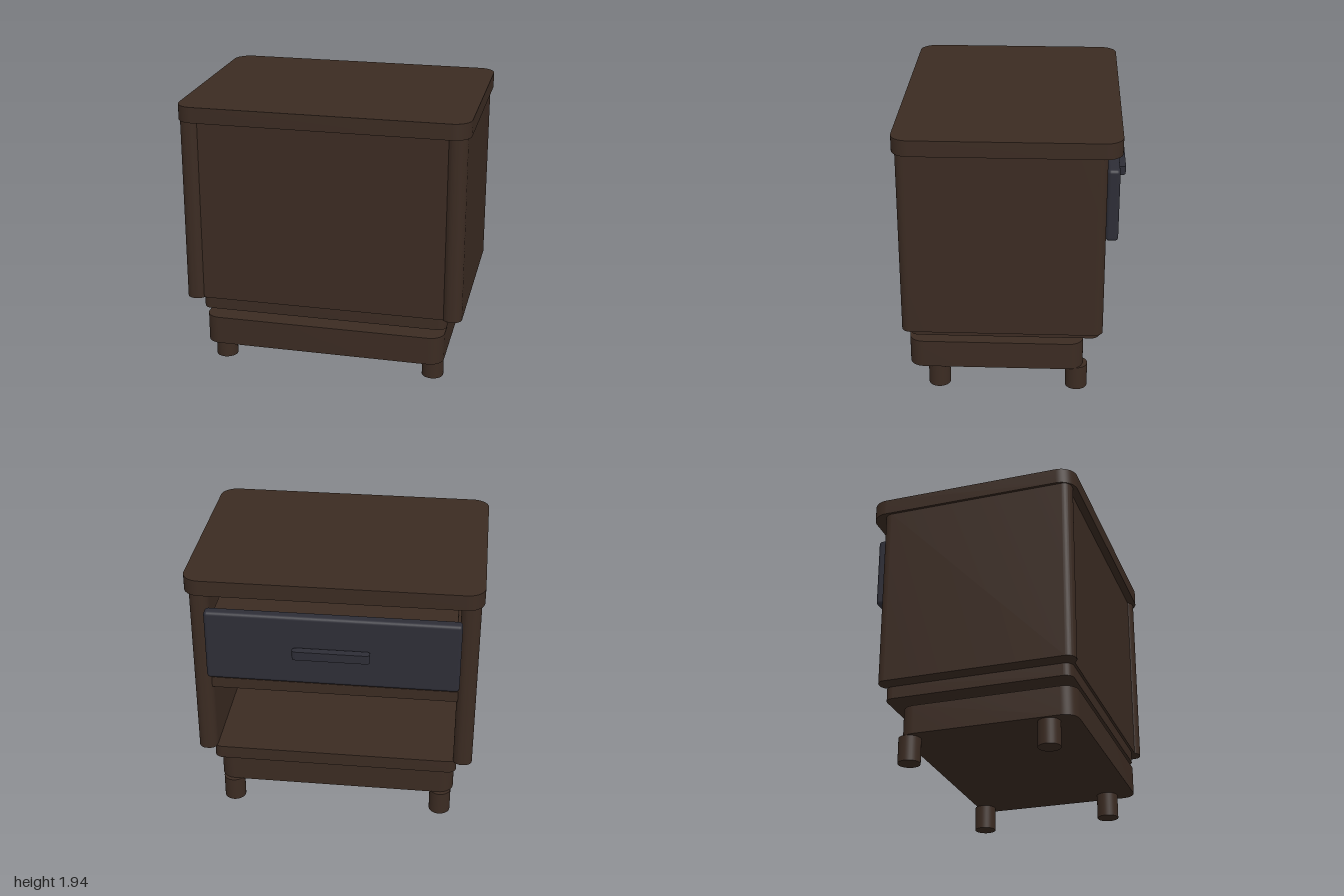
import * as THREE from 'three';
import { toCreasedNormals } from 'three/addons/utils/BufferGeometryUtils.js';
import { RoundedBoxGeometry } from 'three/addons/geometries/RoundedBoxGeometry.js';

const wood = new THREE.MeshStandardMaterial({ color: 0x3b2b22 });
wood.name = 'dark wood';
const slate = new THREE.MeshStandardMaterial({ color: 0x2d2d36 });
slate.name = 'slate drawer';

// Upright slab with rounded vertical edges, given by its extents
function slab(name, [x0, x1], [y0, y1], [z0, z1], r, material = wood) {
  const w = (x1 - x0) / 2, d = (z1 - z0) / 2;
  const s = new THREE.Shape();
  s.moveTo(-w + r, -d);
  s.absarc(w - r, -d + r, r, -Math.PI / 2, 0);
  s.absarc(w - r, d - r, r, 0, Math.PI / 2);
  s.absarc(-w + r, d - r, r, Math.PI / 2, Math.PI);
  s.absarc(-w + r, -d + r, r, Math.PI, Math.PI * 1.5);
  const geo = new THREE.ExtrudeGeometry(s, { depth: y1 - y0, bevelEnabled: false, curveSegments: 8 });
  geo.rotateX(-Math.PI / 2);
  const mesh = new THREE.Mesh(toCreasedNormals(geo, 0.6), material);
  mesh.name = name;
  mesh.position.set((x0 + x1) / 2, y0, (z0 + z1) / 2);
  return mesh;
}

function box(name, [x0, x1], [y0, y1], [z0, z1]) {
  const mesh = new THREE.Mesh(new THREE.BoxGeometry(x1 - x0, y1 - y0, z1 - z0), wood);
  mesh.name = name;
  mesh.position.set((x0 + x1) / 2, (y0 + y1) / 2, (z0 + z1) / 2);
  return mesh;
}

export function createModel() {
  const group = new THREE.Group();
  group.name = 'bedsideCabinet';

  // Cabinet body
  group.add(
    slab('top', [-1, 1], [1.83, 1.94], [-0.725, 0.775], 0.12),
    slab('leftSide', [0.848, 0.982], [0.527, 1.83], [-0.628, 0.748], 0.06),
    slab('rightSide', [-0.982, -0.848], [0.527, 1.83], [-0.628, 0.748], 0.06),
    box('closedPanel', [-0.86, 0.86], [0.527, 1.83], [0.64, 0.72]),
    slab('floor', [-0.873, 0.873], [0.44, 0.535], [-0.61, 0.703], 0.06),
    box('shelf', [-0.86, 0.86], [1.04, 1.12], [-0.6, 0.65]),
  );

  // Drawer, with its box running back into the cabinet
  const drawer = new THREE.Group();
  drawer.name = 'drawer';
  const front = new THREE.Mesh(new RoundedBoxGeometry(1.73, 0.515, 0.085, 3, 0.025), slate);
  front.name = 'drawerFront';
  front.position.set(0, 1.4425, -0.67);
  drawer.add(
    front,
    box('drawerBox', [-0.83, 0.83], [1.2, 1.62], [-0.64, 0.6]),
    slab('handle', [-0.263, 0.263], [1.41, 1.473], [-0.778, -0.722], 0.025, slate),
  );
  group.add(drawer);

  // Plinth and four round legs
  group.add(slab('plinth', [-0.857, 0.857], [0.175, 0.377], [-0.5, 0.718], 0.1));
  const legGeo = new THREE.CylinderGeometry(0.077, 0.077, 0.177, 32);
  for (const x of [-0.765, 0.765]) {
    for (const z of [-0.455, 0.515]) {
      const leg = new THREE.Mesh(legGeo, wood);
      leg.name = 'leg';
      leg.position.set(x, 0.0885, z);
      group.add(leg);
    }
  }
  return group;
}
